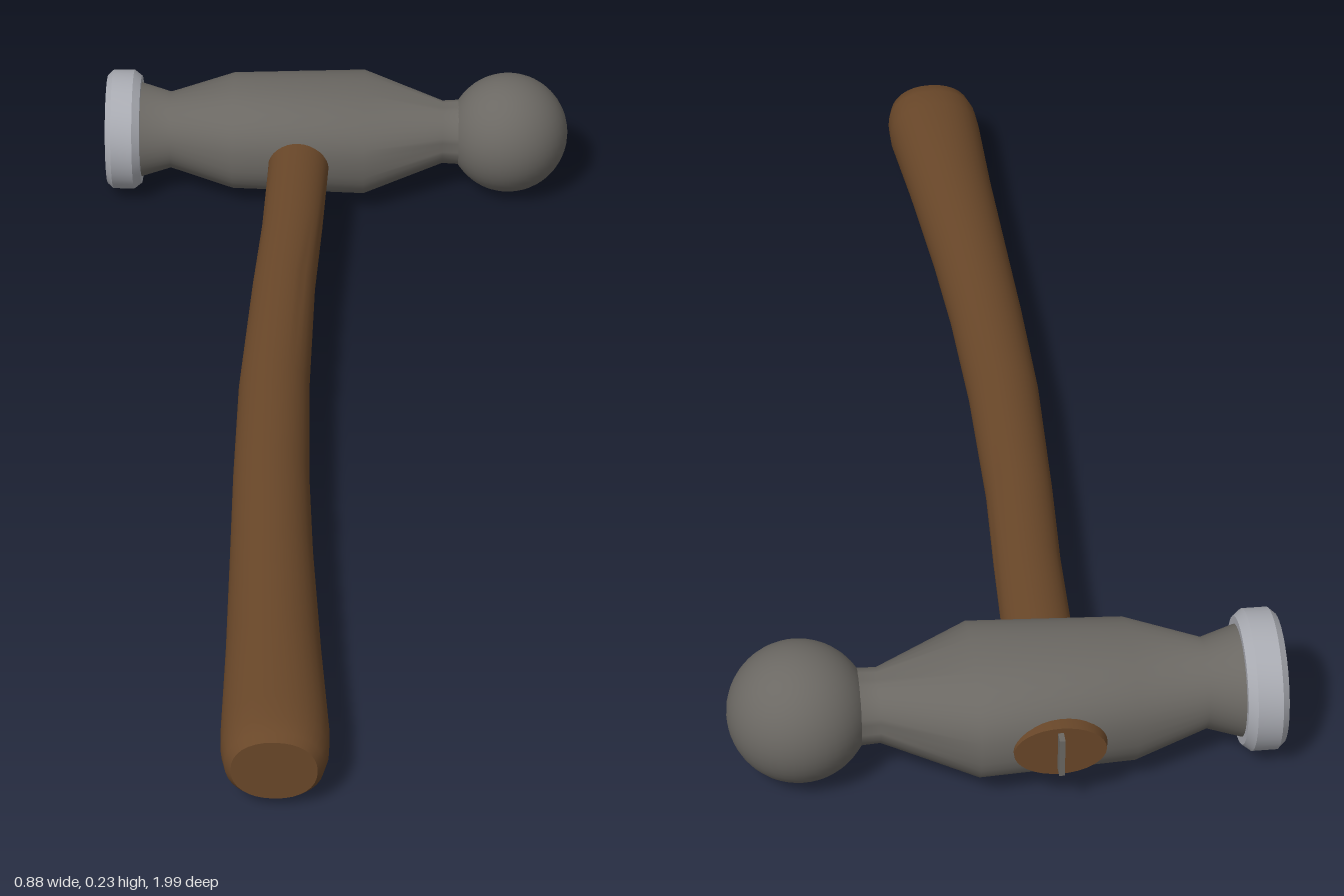
import * as THREE from 'three';
import { toCreasedNormals } from 'three/addons/utils/BufferGeometryUtils.js';

// Skin closed superellipse rings along z; section = [z, centreX, centreY, radiusX, radiusY, exponent]
function loft(sections, sides, crease) {
  const pos = [], index = [];
  for (const [z, cx, cy, rx, ry, n = 2] of sections) {
    for (let j = 0; j < sides; j++) {
      const a = (j / sides) * Math.PI * 2, c = Math.cos(a), s = Math.sin(a);
      pos.push(
        cx + rx * Math.sign(c) * Math.abs(c) ** (2 / n),
        cy + ry * Math.sign(s) * Math.abs(s) ** (2 / n), z);
    }
  }
  const last = sections.length - 1;
  for (let i = 0; i < last; i++) {
    for (let j = 0; j < sides; j++) {
      const k = (j + 1) % sides, a = i * sides, b = a + sides;
      index.push(a + j, a + k, b + k, a + j, b + k, b + j);
    }
  }
  // End caps
  const c0 = pos.length / 3;
  for (const i of [0, last]) pos.push(sections[i][1], sections[i][2], sections[i][0]);
  for (let j = 0; j < sides; j++) {
    const k = (j + 1) % sides;
    index.push(c0, k, j, c0 + 1, last * sides + j, last * sides + k);
  }
  const geo = new THREE.BufferGeometry();
  geo.setAttribute('position', new THREE.Float32BufferAttribute(pos, 3));
  geo.setIndex(index);
  return toCreasedNormals(geo, crease);
}

export function createModel() {
  const material = (name, color) => {
    const m = new THREE.MeshStandardMaterial({ color });
    m.name = name;
    return m;
  };
  const iron = material('dark iron', 0x6b6863);
  const steel = material('polished steel', 0xa9abb2);
  const wood = material('brown wood', 0x694729);

  const model = new THREE.Group();
  model.name = 'ballPeenHammer';
  const add = (parent, name, geo, mat) => {
    const mesh = new THREE.Mesh(geo, mat);
    mesh.name = name;
    parent.add(mesh);
    return mesh;
  };

  // Head: built along local z, then turned so it runs along x
  const head = new THREE.Group();
  head.name = 'head';
  head.position.set(0, 0.115, -0.836);
  head.rotation.y = Math.PI / 2;
  model.add(head);

  add(head, 'headBody', loft([
    [-0.39, 0, 0, 0.092, 0.092],
    [-0.375, 0, 0, 0.09, 0.09],
    [-0.32, 0, 0, 0.073, 0.073],
    [-0.2, 0, 0, 0.121, 0.1, 2.3],
    [0.05, 0, 0, 0.139, 0.1, 2.4],
    [0.2, 0, 0, 0.06, 0.06],
    [0.235, 0, 0, 0.062, 0.062],
    [0.26, 0, 0, 0.07, 0.07],
  ], 40, 0.75), iron);

  add(head, 'strikingFace', loft([
    [-0.441, 0, 0, 0.104, 0.104],
    [-0.43, 0, 0, 0.114, 0.114],
    [-0.39, 0, 0, 0.114, 0.114],
    [-0.376, 0, 0, 0.103, 0.103],
  ], 40, 0.6), steel);

  const ball = add(head, 'ballPeen', new THREE.SphereGeometry(0.114, 40, 24), iron);
  ball.position.z = 0.326;

  // Handle: oval sections, slim at the neck and swelling to the grip
  add(model, 'handle', loft([
    [-0.978, -0.073, 0.115, 0.073, 0.046],
    [-0.95, -0.075, 0.115, 0.076, 0.047],
    [-0.84, -0.073, 0.115, 0.06, 0.045],
    [-0.7, -0.073, 0.115, 0.057, 0.045],
    [-0.5, -0.08, 0.111, 0.056, 0.047],
    [-0.3, -0.091, 0.107, 0.057, 0.05],
    [0, -0.1, 0.1, 0.062, 0.055],
    [0.25, -0.098, 0.094, 0.065, 0.059],
    [0.45, -0.092, 0.089, 0.069, 0.064],
    [0.7, -0.082, 0.082, 0.077, 0.069],
    [0.9, -0.074, 0.077, 0.086, 0.074, 2.2],
    [0.95, -0.073, 0.077, 0.085, 0.072, 2.2],
    [0.982, -0.073, 0.077, 0.078, 0.066, 2.2],
    [0.995, -0.073, 0.077, 0.068, 0.057, 2.2],
  ], 32, 0.7), wood);

  // Metal wedge driven into the end of the handle
  const wedge = add(model, 'wedge', new THREE.BoxGeometry(0.009, 0.07, 0.08), iron);
  wedge.position.set(-0.073, 0.117, -0.958);

  return model;
}
